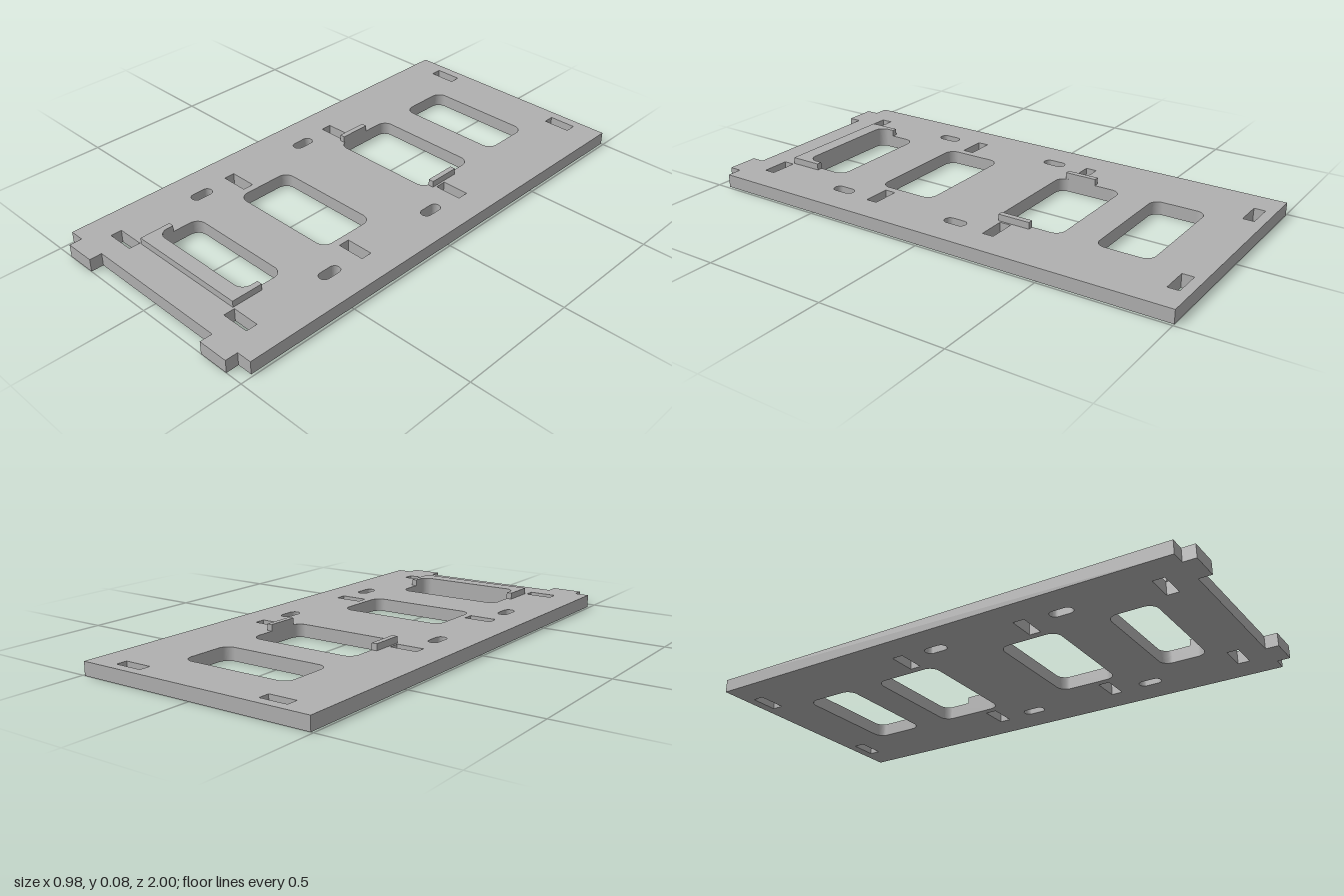
import * as THREE from 'three';

const PLATE_TOP = 0.052, RIDGE_TOP = 0.078;

// Rounded rectangle outline in plan, from (x0, z0) to (x1, z1)
function roundedRect(path, x0, z0, x1, z1, r) {
  path.moveTo(x0 + r, z0);
  path.lineTo(x1 - r, z0);
  path.absarc(x1 - r, z0 + r, r, -Math.PI / 2, 0);
  path.lineTo(x1, z1 - r);
  path.absarc(x1 - r, z1 - r, r, 0, Math.PI / 2);
  path.lineTo(x0 + r, z1);
  path.absarc(x0 + r, z1 - r, r, Math.PI / 2, Math.PI);
  path.lineTo(x0, z0 + r);
  path.absarc(x0 + r, z0 + r, r, Math.PI, Math.PI * 1.5);
  return path;
}

function polygon(points) {
  return new THREE.Shape(points.map(([x, z]) => new THREE.Vector2(x, z)));
}

// Extrude a plan outline (x, z) between two heights
function slab(name, shape, bottom, top, material) {
  const geometry = new THREE.ExtrudeGeometry(shape, { depth: top - bottom, bevelEnabled: false, curveSegments: 8 });
  geometry.rotateX(Math.PI / 2).translate(0, top, 0);
  const mesh = new THREE.Mesh(geometry, material);
  mesh.name = name;
  return mesh;
}

export function createModel() {
  const grey = new THREE.MeshStandardMaterial({ color: 0xb0b0b0 });
  grey.name = 'plate grey';
  const model = new THREE.Group();
  model.name = 'slottedPlate';

  // Plate outline with two tabs on the front edge
  const plate = polygon([
    [-0.49, -1], [0.49, -1], [0.49, 0.95], [0.43, 0.95], [0.43, 1], [0.305, 1], [0.305, 0.95],
    [-0.305, 0.95], [-0.305, 1], [-0.43, 1], [-0.43, 0.95], [-0.49, 0.95],
  ]);

  // Four large windows
  for (const [z0, z1] of [[-0.79, -0.573], [-0.435, -0.165], [0.135, 0.376], [0.577, 0.757]]) {
    plate.holes.push(roundedRect(new THREE.Path(), -0.23, z0, 0.23, z1, 0.04));
  }

  for (const side of [-1, 1]) {
    // Rectangular slots
    for (const z of [-0.938, -0.225, 0.307, 0.841]) {
      const x = side * 0.316;
      const slot = new THREE.Path();
      slot.setFromPoints([[-1, -1], [1, -1], [1, 1], [-1, 1]].map(
        ([u, v]) => new THREE.Vector2(x + u * 0.056, z + v * 0.0225)));
      plate.holes.push(slot);
    }
    // Oval screw slots
    for (const z of [-0.066, 0.465]) {
      const x = side * 0.347;
      plate.holes.push(roundedRect(new THREE.Path(), x - 0.022, z - 0.046, x + 0.022, z + 0.046, 0.0219));
    }
    // Short raised rails beside the second window
    const rail = polygon([[0.23, -0.32], [0.252, -0.32], [0.252, -0.19], [0.23, -0.19]]
      .map(([x, z]) => [x * side, z]));
    model.add(slab(side > 0 ? 'leftRail' : 'rightRail', rail, PLATE_TOP, RIDGE_TOP, grey));
  }
  model.add(slab('plate', plate, 0, PLATE_TOP, grey));

  // U-shaped raised lip around the front of the first window
  const lip = new THREE.Shape();
  lip.moveTo(-0.252, 0.69);
  lip.lineTo(-0.23, 0.69);
  lip.lineTo(-0.23, 0.717);
  lip.absarc(-0.19, 0.717, 0.04, Math.PI, Math.PI / 2, true);
  lip.lineTo(0.19, 0.757);
  lip.absarc(0.19, 0.717, 0.04, Math.PI / 2, 0, true);
  lip.lineTo(0.23, 0.69);
  lip.lineTo(0.252, 0.69);
  lip.lineTo(0.252, 0.818);
  lip.lineTo(-0.252, 0.818);
  model.add(slab('frontLip', lip, PLATE_TOP, RIDGE_TOP, grey));

  return model;
}
